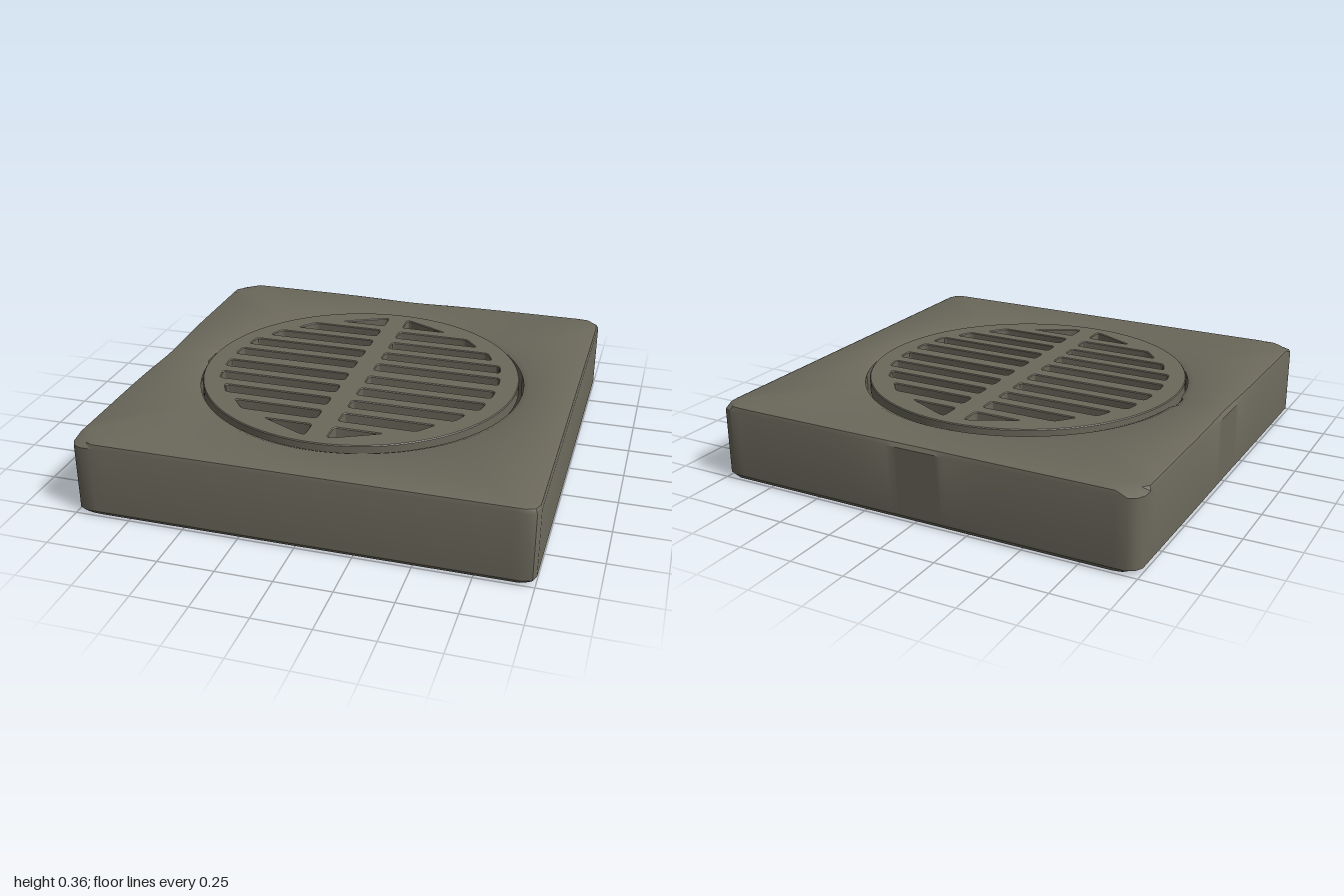
import * as THREE from 'three';
import { toCreasedNormals } from 'three/addons/utils/BufferGeometryUtils.js';

const castIron = new THREE.MeshStandardMaterial({ color: 0x6b685b });
castIron.name = 'weathered grey iron';

const N = 240; // points around each loop of the frame
const bump = (t, width) => Math.exp(-((t / width) ** 2));

// Round loop, with a small notch on the -x side
function circleLoop(r, y, notch) {
  return (c, s) => {
    const rr = c < 0 && Math.abs(s * r + 0.008) < 0.055 ? notch : r;
    return [c * rr, y, s * rr];
  };
}

// Square loop with cut corners; wear scales the chips on three corners and two edges
function squareLoop(h, y, cut, wear) {
  return (c, s) => {
    let chip = 0.05;
    if (c < 0) chip = s < 0 ? 0.11 : 0.09;
    else if (s > 0) chip = 0;
    const k = cut + chip * wear;
    const ac = Math.abs(c), as = Math.abs(s);
    let r = Math.min(h / Math.max(ac, as), (2 * h - k) / (ac + as));
    // shallow dents midway along the back and -x edges
    let dent = 0;
    if (s < -0.7) dent = bump(c, 0.22);
    if (c < -0.7) dent = bump(s, 0.22);
    r -= 0.015 * wear * dent;
    return [c * r, y - 0.006 * wear * dent, s * r];
  };
}

// Slab with a round opening, skinned over loops from the bore outwards
function frameGeometry() {
  const loops = [
    circleLoop(0.785, 0, 0.785),
    circleLoop(0.758, 0.27, 0.768),
    circleLoop(0.758, 0.335, 0.772),
    circleLoop(0.785, 0.347, 0.795),
    squareLoop(0.98, 0.35, 0.03, 1),
    squareLoop(0.994, 0.344, 0.03, 0.6),
    squareLoop(1, 0.325, 0.025, 0.1),
    squareLoop(1, 0.02, 0.025, 0.1),
    squareLoop(0.985, 0, 0.03, 0.3),
  ];
  const pos = [], index = [];
  for (const loop of loops) {
    for (let j = 0; j < N; j++) {
      const a = (j / N) * Math.PI * 2;
      pos.push(...loop(Math.cos(a), Math.sin(a)));
    }
  }
  for (let i = 0; i < loops.length; i++) {
    const lo = i * N, hi = ((i + 1) % loops.length) * N;
    for (let j = 0; j < N; j++) {
      const k = (j + 1) % N;
      index.push(lo + j, lo + k, hi + j, lo + k, hi + k, hi + j);
    }
  }
  const geo = new THREE.BufferGeometry();
  geo.setAttribute('position', new THREE.Float32BufferAttribute(pos, 3));
  geo.setIndex(index);
  return toCreasedNormals(geo, 0.6);
}

// Closed polygon with rounded corners
function roundedPath(points, radius) {
  const path = new THREE.Path();
  const v = points.map(([x, y]) => new THREE.Vector2(x, y));
  v.forEach((p, i) => {
    const toward = (q) => {
      const d = q.clone().sub(p);
      return p.clone().addScaledVector(d.normalize(), Math.min(radius, p.distanceTo(q) * 0.45));
    };
    const a = toward(v[(i + v.length - 1) % v.length]);
    const b = toward(v[(i + 1) % v.length]);
    if (i === 0) path.moveTo(a.x, a.y);
    else path.lineTo(a.x, a.y);
    path.quadraticCurveTo(p.x, p.y, b.x, b.y);
  });
  path.closePath();
  return path;
}

// Round grate: five mirrored rows of slots on each side of a central spine
function grateGeometry() {
  const shape = new THREE.Shape();
  shape.absarc(0, 0, 0.738, 0, Math.PI * 2, false);
  const rows = [ // near z, far z, reach at near z, reach at far z
    [0.033, 0.113, 0.651, 0.645],
    [0.168, 0.248, 0.634, 0.618],
    [0.303, 0.381, 0.57, 0.535],
    [0.437, 0.521, 0.468, 0.4],
    [0.577, 0.678, 0.275, 0.07],
  ];
  const spine = 0.047;
  for (const [z0, z1, x0, x1] of rows) {
    for (const sx of [-1, 1]) {
      for (const sz of [-1, 1]) {
        shape.holes.push(roundedPath([
          [sx * spine, sz * z0], [sx * x0, sz * z0],
          [sx * x1, sz * z1], [sx * spine, sz * z1],
        ], 0.022));
      }
    }
  }
  const geo = new THREE.ExtrudeGeometry(shape, {
    depth: 0.052, curveSegments: 48,
    bevelEnabled: true, bevelThickness: 0.004, bevelSize: 0.004, bevelSegments: 1,
  });
  geo.rotateX(-Math.PI / 2);
  return toCreasedNormals(geo, 0.6);
}

export function createModel() {
  const model = new THREE.Group();
  model.name = 'floorDrain';

  const frame = new THREE.Mesh(frameGeometry(), castIron);
  frame.name = 'squareFrame';

  const grate = new THREE.Mesh(grateGeometry(), castIron);
  grate.name = 'roundGrate';
  grate.position.set(-0.006, 0.304, 0);

  model.add(frame, grate);
  return model;
}
